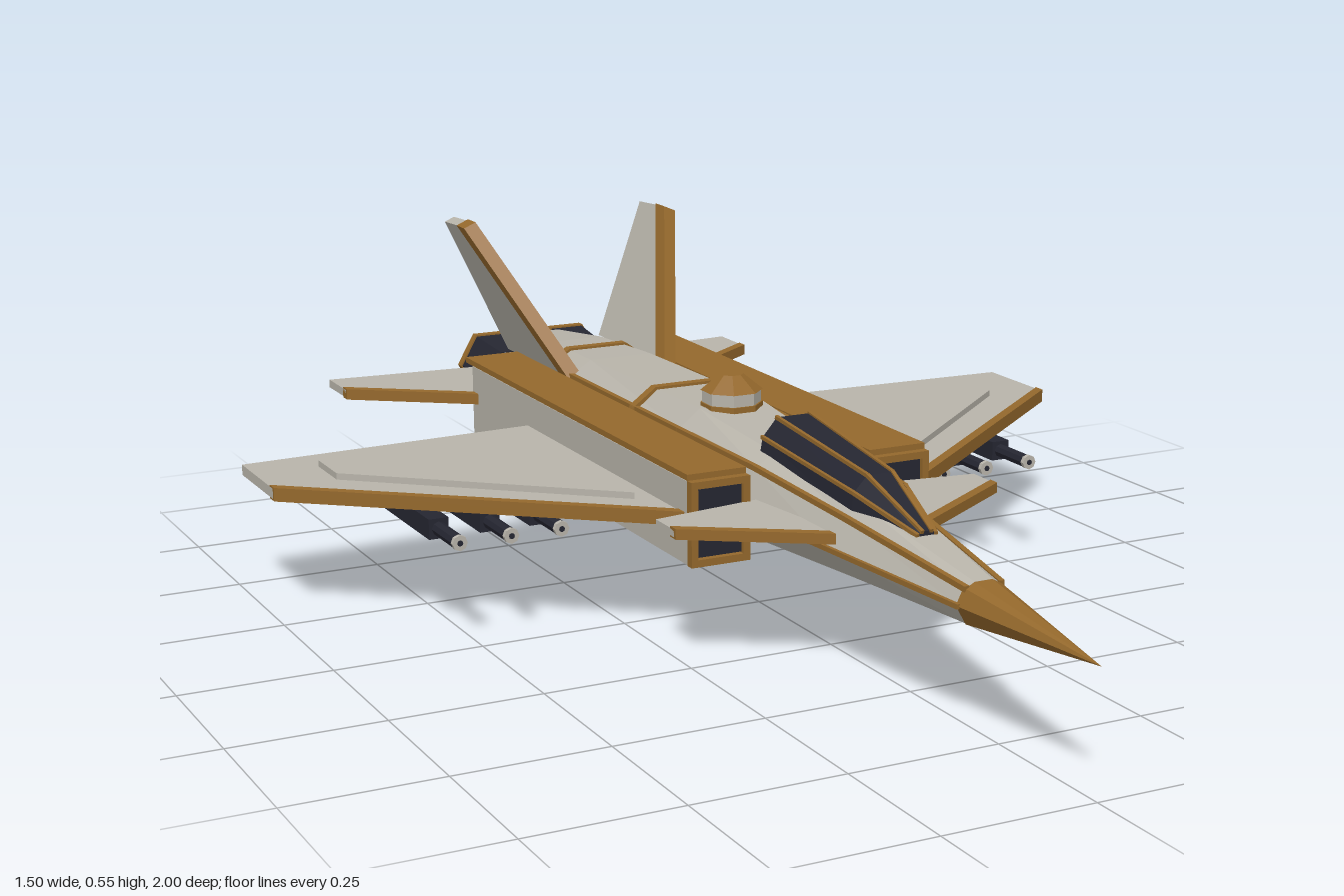
import * as THREE from 'three';

const mat = (name, color, extra = {}) => {
  const m = new THREE.MeshStandardMaterial({ color, flatShading: true, ...extra });
  m.name = name;
  return m;
};

export function createModel() {
  const gray = mat('hullGray', 0xb8b4aa);
  const gold = mat('bronzeTrim', 0x94682c);
  const dark = mat('darkMetal', 0x252631);
  const root = new THREE.Group();
  root.name = 'fighterJet';

  const add = (name, geo, material, x = 0, y = 0, z = 0) => {
    const mesh = new THREE.Mesh(geo, material);
    mesh.name = name;
    mesh.position.set(x, y, z);
    root.add(mesh);
    return mesh;
  };
  const box = (name, w, h, d, material, x, y, z) => add(name, new THREE.BoxGeometry(w, h, d), material, x, y, z);

  // closed ring from half-section points [x, y] listed bottom to top
  const ring = (half, z) => [
    ...half.map(([x, y]) => [x, y, z]),
    ...half.slice().reverse().map(([x, y]) => [-x, y, z]),
  ];
  // capped skin through rings ordered from front to back
  const loft = (rings) => {
    const pos = [];
    const tri = (...p) => p.forEach((v) => pos.push(...v));
    const n = rings[0].length;
    for (let i = 0; i < rings.length - 1; i++) {
      const a = rings[i], b = rings[i + 1];
      for (let j = 0; j < n; j++) {
        const k = (j + 1) % n;
        tri(a[j], b[j], a[k]);
        tri(a[k], b[j], b[k]);
      }
    }
    const f = rings[0], r = rings[rings.length - 1];
    for (let j = 1; j < n - 1; j++) {
      tri(f[0], f[j], f[j + 1]);
      tri(r[0], r[j + 1], r[j]);
    }
    const geo = new THREE.BufferGeometry();
    geo.setAttribute('position', new THREE.Float32BufferAttribute(pos, 3));
    geo.computeVertexNormals();
    return geo;
  };
  // square bar between two points
  const bar = (name, a, b, size, material) => {
    const p = new THREE.Vector3(...a), q = new THREE.Vector3(...b);
    const mesh = box(name, size, size, p.distanceTo(q) + size * 0.5, material);
    mesh.position.copy(p).add(q).multiplyScalar(0.5);
    mesh.lookAt(q);
  };
  // flat surface outlined by [z, span] points along a span direction
  const panel = (name, pts, thick, material, origin, dir) => {
    const geo = new THREE.ExtrudeGeometry(new THREE.Shape(pts.map((p) => new THREE.Vector2(...p))),
      { depth: thick, bevelEnabled: false });
    geo.translate(0, 0, -thick / 2);
    const zAxis = new THREE.Vector3(0, 0, 1);
    const span = new THREE.Vector3(...dir).normalize();
    geo.applyMatrix4(new THREE.Matrix4().makeBasis(zAxis, span, zAxis.clone().cross(span)));
    add(name, geo, material, ...origin);
  };
  // aerofoil with a trimmed leading edge (first two points)
  const foil = (name, pts, thick, trim, origin, dir) => {
    panel(name, pts, thick, gray, origin, dir);
    const [[z0, v0], [z1, v1]] = pts;
    panel(name + 'LeadingEdge', [[z0 + 0.006, v0], [z1 + 0.006, v1], [z1 - trim, v1], [z0 - trim, v0]],
      thick + 0.005, gold, origin, dir);
  };

  // fuselage: z, then bottom, side, shoulder and top points
  const sections = [
    [0.70, [0.025, 0.175], [0.042, 0.205], [0.03, 0.230], [0.015, 0.238]],
    [0.40, [0.050, 0.168], [0.085, 0.215], [0.06, 0.262], [0.035, 0.285]],
    [0.15, [0.070, 0.160], [0.115, 0.220], [0.085, 0.285], [0.05, 0.305]],
    [-0.10, [0.080, 0.158], [0.125, 0.220], [0.10, 0.293], [0.06, 0.325]],
    [-0.55, [0.080, 0.158], [0.125, 0.220], [0.10, 0.293], [0.06, 0.318]],
    [-0.75, [0.065, 0.160], [0.10, 0.220], [0.08, 0.288], [0.05, 0.312]],
    [-0.92, [0.040, 0.175], [0.06, 0.225], [0.052, 0.270], [0.035, 0.295]],
  ];
  const rings = sections.map(([z, ...half]) => ring(half, z));
  add('fuselage', loft(rings), gray);
  const grow = (r, k, z) => r.map(([x, y]) => [x * k, 0.225 + (y - 0.225) * k, z]);
  const ringAt = (z) => {
    const i = sections.findIndex((s, n) => z <= s[0] && z >= sections[n + 1][0]);
    const t = (z - sections[i][0]) / (sections[i + 1][0] - sections[i][0]);
    return rings[i].map((p, j) => p.map((v, c) => v + (rings[i + 1][j][c] - v) * t));
  };
  for (const z of [-0.275, -0.66]) {
    const r = ringAt(z);
    add('fuselageBand', loft([grow(r, 1.05, z + 0.009), grow(r, 1.05, z - 0.009)]), gold);
  }
  add('noseCone', loft([rings[0].map(() => [0, 0.2, 1]), grow(rings[0], 1.03, 0.695)]), gold);

  // canopy with ribs
  const canopy = [
    [0.54, [0.018, 0.255], [0.016, 0.265], [0.008, 0.27]],
    [0.40, [0.05, 0.262], [0.046, 0.300], [0.022, 0.325]],
    [0.12, [0.062, 0.290], [0.056, 0.325], [0.03, 0.355]],
  ].map(([z, ...half]) => ring(half, z));
  add('canopy', loft(canopy), dark);
  for (let i = 0; i < 2; i++)
    for (let j = 0; j < 6; j++) bar('canopyRib', canopy[i][j], canopy[i + 1][j], 0.006, gold);

  // sensor dome
  const disc = (name, rTop, rBottom, h, m, y) =>
    add(name, new THREE.CylinderGeometry(rTop, rBottom, h, 8).rotateY(Math.PI / 8), m, 0, y, -0.1);
  disc('domeBase', 0.053, 0.053, 0.012, gold, 0.325);
  disc('domeBand', 0.05, 0.05, 0.022, gray, 0.342);
  disc('domeCap', 0.02, 0.053, 0.027, gold, 0.3655);

  for (const s of [1, -1]) {
    // fuselage edge trim
    for (let i = 0; i < rings.length - 1; i++) {
      const j = s > 0 ? 2 : 5;
      bar('shoulderTrim', rings[i][j], rings[i + 1][j], 0.009, gold);
      if (i < 2) bar('chineTrim', rings[i][s > 0 ? 1 : 6], rings[i + 1][s > 0 ? 1 : 6], 0.008, gold);
    }

    // intake nacelle
    box('nacelle', 0.1, 0.138, 0.92, gray, s * 0.165, 0.214, -0.285);
    box('nacelleTopPlate', 0.104, 0.01, 0.945, gold, s * 0.165, 0.29, -0.3);
    box('intakeMouth', 0.078, 0.112, 0.008, dark, s * 0.165, 0.215, 0.177);
    for (const k of [-1, 1]) {
      box('intakeFrameSide', 0.012, 0.14, 0.016, gold, s * 0.165 + k * 0.046, 0.215, 0.179);
      box('intakeFrameRail', 0.104, 0.012, 0.016, gold, s * 0.165, 0.215 + k * 0.064, 0.179);
    }

    // lifting surfaces, spans measured from the centre line
    const out = [s, 0, 0];
    foil('wing', [[0.205, 0.15], [-0.285, 0.748], [-0.455, 0.748], [-0.485, 0.15]], 0.018, 0.016, [0, 0.219, 0], out);
    panel('wingRaisedPanel', [[0.045, 0.25], [-0.29, 0.637], [-0.383, 0.637], [-0.403, 0.25]], 0.012, gray, [0, 0.233, 0], out);
    foil('canard', [[0.41, 0.085], [0.275, 0.29], [0.21, 0.29], [0.18, 0.085]], 0.012, 0.014, [0, 0.236, 0], out);
    foil('tailplane', [[-0.66, 0.125], [-0.875, 0.42], [-0.97, 0.42], [-0.94, 0.08]], 0.015, 0.016, [0, 0.225, 0], out);
    foil('tailFin', [[-0.545, 0], [-0.77, 0.278], [-0.875, 0.272], [-0.84, 0]], 0.02, 0.032,
      [s * 0.095, 0.29, 0], [s * 0.11, 0.255, 0]);
    foil('ventralFin', [[-0.545, 0], [-0.665, 0.158], [-0.755, 0.158], [-0.745, 0]], 0.016, 0.018,
      [s * 0.08, 0.148, 0], [s * 0.075, -0.14, 0]);

    // engine with six-sided nozzle
    const hex = (name, rBack, rFront, z0, z1, m) =>
      add(name, new THREE.CylinderGeometry(rFront, rBack, z0 - z1, 6).rotateY(Math.PI / 6).rotateX(Math.PI / 2)
        .rotateZ(Math.PI / 6 * (name === 'none' ? 1 : 0)), m, s * 0.08, 0.228, (z0 + z1) / 2);
    hex('engineBody', 0.05, 0.05, -0.7, -0.88, gray);
    hex('nozzle', 0.064, 0.052, -0.872, -0.985, dark);
    hex('nozzleRing', 0.067, 0.067, -0.982, -0.998, gold);
    hex('exhaustDisc', 0.054, 0.054, -0.99, -1, gray);

    // underwing guns
    for (const x of [0.36, 0.447, 0.535]) {
      box('gunBody', 0.034, 0.034, 0.21, dark, s * x, 0.182, -0.195);
      box('gunMount', 0.012, 0.02, 0.12, dark, s * x, 0.204, -0.2);
      add('gunBarrel', new THREE.CylinderGeometry(0.012, 0.012, 0.095, 8).rotateX(Math.PI / 2), dark, s * x, 0.182, -0.046);
      add('gunMuzzle', new THREE.CylinderGeometry(0.013, 0.013, 0.008, 8).rotateX(Math.PI / 2), gray, s * x, 0.182, 0);
      add('gunBore', new THREE.CylinderGeometry(0.005, 0.005, 0.004, 8).rotateX(Math.PI / 2), dark, s * x, 0.182, 0.003);
    }
  }
  return root;
}
